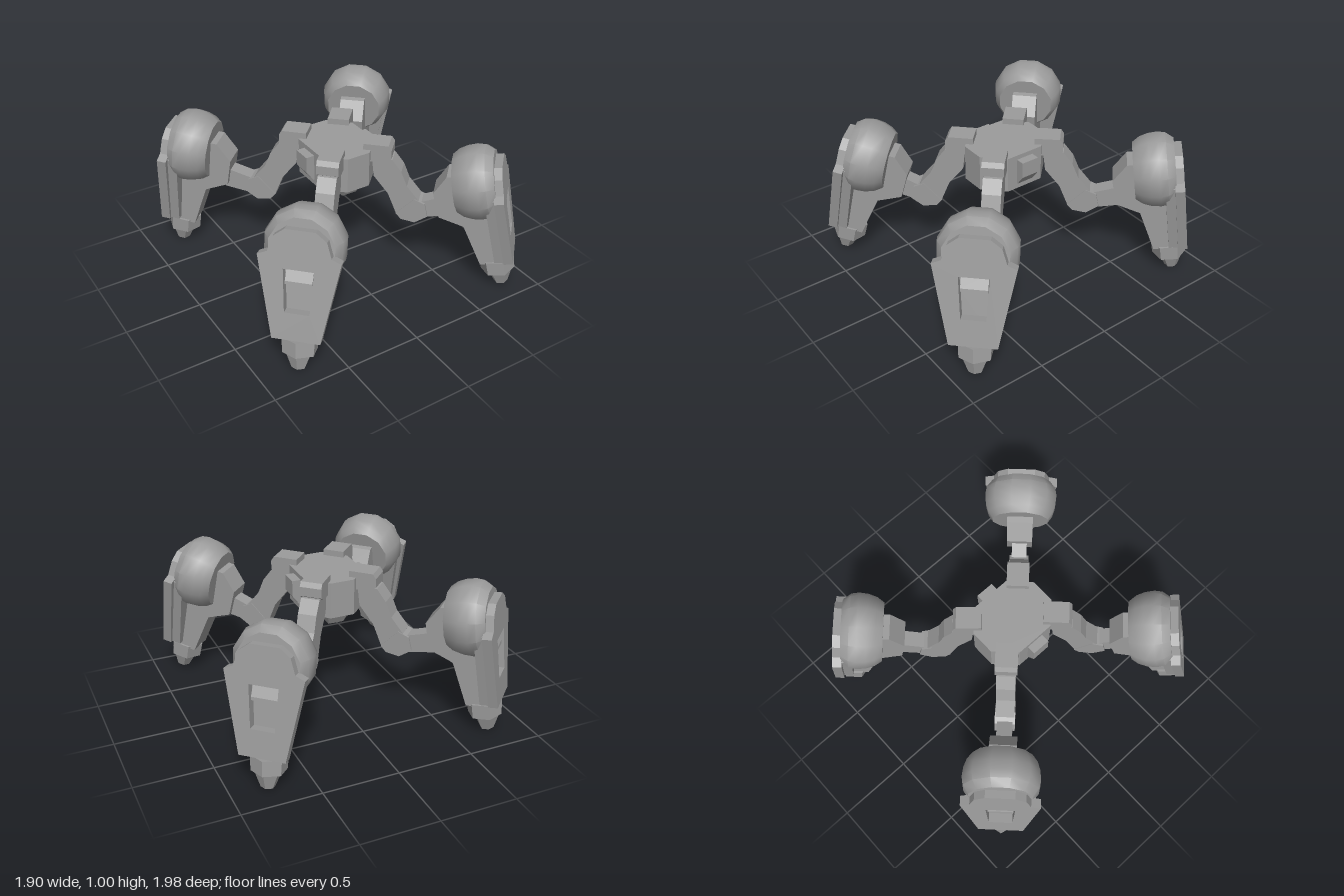
import * as THREE from 'three';
import { toCreasedNormals } from 'three/addons/utils/BufferGeometryUtils.js';

const grey = new THREE.MeshStandardMaterial({ color: 0x9b9b9b, flatShading: true });
const smooth = new THREE.MeshStandardMaterial({ color: 0x9b9b9b });

function part(name, geometry, parent, material = grey) {
  const mesh = new THREE.Mesh(geometry, material);
  mesh.name = name;
  parent.add(mesh);
  return mesh;
}

const toShape = (pts) => new THREE.Shape(pts.map(([a, b]) => new THREE.Vector2(a, b)));

function extrude(shape, depth) {
  return new THREE.ExtrudeGeometry(shape, { depth, bevelEnabled: false });
}

// Side profile given as [z, y], extruded symmetrically across x
function sideProfile(pts, width) {
  return extrude(toShape(pts), width).translate(0, 0, -width / 2).rotateY(-Math.PI / 2);
}

// Shield outline: narrow foot, wide shoulders, arched head
function shieldOutline(s = 1) {
  const half = [[0.145, -0.545], [0.243, -0.03], [0.185, -0.005], [0.155, 0.09], [0.09, 0.14]];
  const mirrored = half.map(([x, y]) => [-x, y]).reverse();
  return [...half, ...mirrored].map(([x, y]) => [x * s, y]);
}

function makePod() {
  const pod = new THREE.Group();
  pod.name = 'legPod';

  // Drum-like housing with a flat inner face, its axis pointing outward
  const profile = [[0, -0.17], [0.19, -0.17], [0.222, -0.125], [0.24, -0.07],
    [0.246, -0.01], [0.237, 0.04], [0.2, 0.09], [0, 0.09]];
  const dome = new THREE.LatheGeometry(profile.map(([r, y]) => new THREE.Vector2(r, y)), 12);
  dome.rotateY(Math.PI / 12).rotateX(Math.PI / 2);
  part('housing', toCreasedNormals(dome, 0.65), pod, smooth);

  // Shin running from the forearm socket down to the foot
  part('shin', sideProfile([[-0.31, -0.02], [-0.21, 0.09], [0.06, 0.09], [0.08, -0.58],
    [-0.08, -0.58], [-0.15, -0.28], [-0.3, -0.2]], 0.17), pod);

  // Layered outer shield with a recessed window
  part('shieldBacking', extrude(toShape(shieldOutline(0.86)), 0.06).translate(0, 0, 0.02), pod);
  const plate = toShape(shieldOutline());
  plate.holes.push(new THREE.Path([[-0.09, -0.1], [-0.075, -0.37], [0.075, -0.37], [0.09, -0.1]]
    .map(([x, y]) => new THREE.Vector2(x, y))));
  part('shield', extrude(plate, 0.06).translate(0, 0, 0.08), pod);
  part('windowLip', sideProfile([[0.07, -0.1], [0.09, -0.1], [0.125, -0.18], [0.125, -0.2],
    [0.07, -0.21]], 0.16), pod);

  // Foot
  const collar = part('footCollar', new THREE.CylinderGeometry(0.115, 0.11, 0.1, 6), pod);
  collar.position.set(0, -0.615, 0.02);
  const toe = part('toe', new THREE.CylinderGeometry(0.088, 0.045, 0.112, 6), pod);
  toe.position.set(0, -0.713, 0.03);
  return pod;
}

function makeLeg(reach, tilt) {
  const leg = new THREE.Group();
  part('hip', sideProfile([[0.165, 0.86], [0.3, 0.86], [0.345, 0.89], [0.345, 0.95],
    [0.325, 0.98], [0.165, 0.98]], 0.14), leg);
  part('upperArm', sideProfile([[0.22, 0.88], [0.235, 0.75], [0.33, 0.63], [0.39, 0.48],
    [0.48, 0.5], [0.53, 0.6], [0.45, 0.7], [0.41, 0.8], [0.35, 0.88]], 0.12), leg);
  part('elbow', sideProfile([[0.385, 0.49], [0.42, 0.45], [0.51, 0.435], [0.59, 0.49],
    [0.57, 0.58], [0.5, 0.61]], 0.13), leg);
  part('forearm', sideProfile([[0.5, 0.46], [0.7 + reach, 0.5], [0.7 + reach, 0.64],
    [0.5, 0.57]], 0.1), leg);
  const pod = makePod();
  pod.position.set(0, 0.765, 0.95 + reach);
  pod.rotation.x = -tilt;
  leg.add(pod);
  return leg;
}

export function createModel() {
  const model = new THREE.Group();
  model.name = 'fourLeggedWalker';
  const body = new THREE.Group();
  body.name = 'body';
  body.position.set(0.02, 0, 0.04);
  model.add(body);

  // Eight-sided hull
  const hull = toShape([[0.08, -0.255], [0.205, -0.13], [0.205, 0.13], [0.08, 0.255],
    [-0.08, 0.255], [-0.205, 0.13], [-0.205, -0.13], [-0.08, -0.255]]);
  part('hull', extrude(hull, 0.24).rotateX(-Math.PI / 2).translate(0, 0.7, 0), body);

  // Tapered keel: a box with its lower corners drawn in
  const keel = new THREE.BoxGeometry(0.16, 0.1, 0.41);
  const p = keel.attributes.position;
  for (let i = 0; i < p.count; i++) {
    if (p.getY(i) < 0) p.setXYZ(i, p.getX(i) * 0.65, p.getY(i), p.getZ(i) * 0.74);
  }
  part('keel', keel, body).position.y = 0.66;

  // Side pods on the hull
  for (const s of [1, -1]) {
    const tab = part('sideTab', sideProfile([[0.19, 0.735], [0.21, 0.735], [0.262, 0.805],
      [0.262, 0.91], [0.19, 0.91]], 0.12), body);
    tab.rotation.y = s * Math.PI / 2;
  }

  // Legs: name, side, front/back, heading in degrees, extra reach, outward tilt
  const legs = [
    ['frontLeftLeg', 1, 1, 44.5, -0.03, 0.2],
    ['frontRightLeg', -1, 1, 45, -0.05, 0.22],
    ['backLeftLeg', 1, -1, 47.6, 0.022, 0.14],
    ['backRightLeg', -1, -1, 45.1, 0.037, 0.11],
  ];
  for (const [name, sx, sz, deg, reach, tilt] of legs) {
    const a = THREE.MathUtils.degToRad(deg);
    const leg = makeLeg(reach, tilt);
    leg.name = name;
    leg.position.z = sz * 0.035;
    leg.rotation.y = Math.atan2(sx * Math.cos(a), sz * Math.sin(a));
    body.add(leg);
  }
  return model;
}
